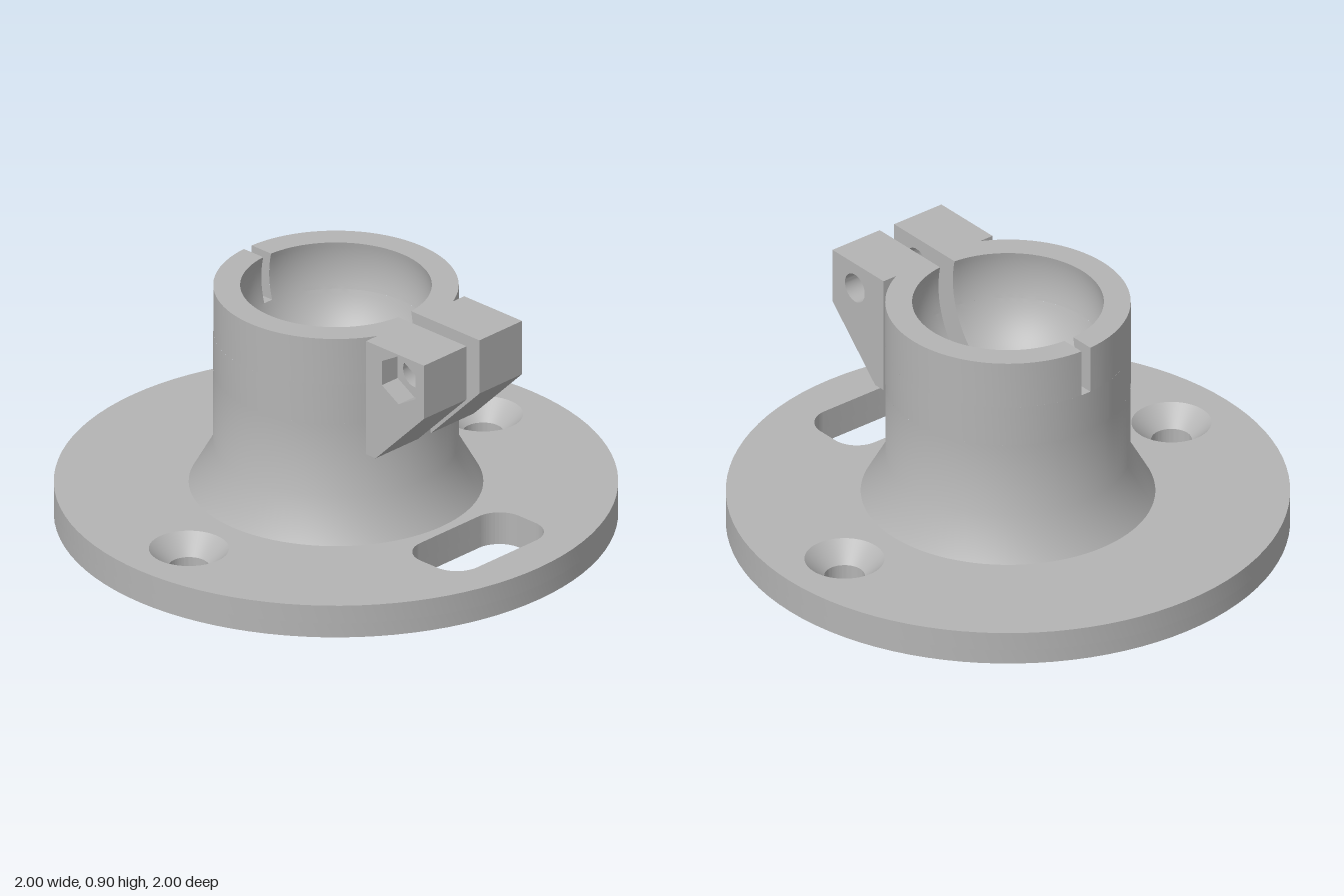
import * as THREE from 'three';
import { mergeGeometries, toCreasedNormals } from 'three/addons/utils/BufferGeometryUtils.js';

const HALF_SEGMENTS = 48;
const OUTER = 0.435, TOP = 0.9;          // neck radius and height
const BALL_Y = 0.82, BALL_R = 0.349;     // spherical socket
const FLANGE = 0.125, SINK = 0.055;      // flange thickness, countersink floor
const FRONT = { w: 0.033, y: 0.565 };    // slot half widths and floors
const BACK = { w: 0.02, y: 0.72 };

const v2 = (x, y) => new THREE.Vector2(x, y);
const crease = (g) => toCreasedNormals(g, 0.6);

// Socket profile running down from y0 to y1
function socketArc(y0, y1, n = 10) {
  const angle = (y) => Math.asin(Math.max(-1, (y - BALL_Y) / BALL_R));
  const a = angle(y0), b = angle(y1);
  return Array.from({ length: n + 1 }, (_, i) => {
    const t = a + (b - a) * i / n;
    return v2(Math.max(0, BALL_R * Math.cos(t)), BALL_Y + BALL_R * Math.sin(t));
  });
}

// Two half turns of a profile, pulled back from parallel-sided slots
function slottedRing(points, wFront, wBack) {
  return [0, 1].map((side) => {
    const g = new THREE.LatheGeometry(points, HALF_SEGMENTS, side * Math.PI, Math.PI);
    const p = g.attributes.position;
    for (let k = 0; k < p.count; k++) {
      const { x: r, y } = points[k % points.length];
      const t = Math.floor(k / points.length) / HALF_SEGMENTS;
      const gap = (w) => (r > w ? Math.asin(w / r) : 0);
      const start = gap(side ? wBack : wFront), end = Math.PI - gap(side ? wFront : wBack);
      const a = side * Math.PI + start + (end - start) * t;
      p.setXYZ(k, r * Math.sin(a), y, r * Math.cos(a));
    }
    return g;
  });
}

// Cheeks and floor of a slot; dir is +1 for front, -1 for back
function slotFaces({ w, y }, dir) {
  const z = (r) => Math.sqrt(r * r - w * w);
  const outline = [v2(OUTER, y), v2(OUTER, TOP), ...socketArc(TOP, y, 16)];
  const faces = [1, -1].map((side) => {
    const shape = new THREE.Shape(outline.map((q) => v2(dir * side * z(q.x), q.y)));
    return new THREE.ShapeGeometry(shape).rotateY(-side * Math.PI / 2).translate(side * w, 0, 0);
  });
  const inner = z(outline[outline.length - 1].x);
  const floor = new THREE.PlaneGeometry(2 * w, OUTER - inner).rotateX(-Math.PI / 2);
  return [...faces, floor.translate(0, y, dir * (OUTER + inner) / 2)];
}

function neckGeometry() {
  const band = (y0, y1) => [v2(OUTER, y0), v2(OUTER, y1)];
  return crease(mergeGeometries([
    ...slottedRing([v2(0.522, FLANGE), v2(OUTER, 0.28), v2(OUTER, FRONT.y)], 0, 0),
    ...slottedRing(socketArc(FRONT.y, BALL_Y - BALL_R, 14), 0, 0),
    ...slottedRing(band(FRONT.y, BACK.y), FRONT.w, 0),
    ...slottedRing(socketArc(BACK.y, FRONT.y), FRONT.w, 0),
    ...slottedRing([...band(BACK.y, TOP), ...socketArc(TOP, BACK.y)], FRONT.w, BACK.w),
    ...slotFaces(FRONT, 1),
    ...slotFaces(BACK, -1),
  ]));
}

const circle = (x, y, r) => new THREE.Path().absarc(x, y, r, 0, Math.PI * 2, true);

// Rounded cable opening in the flange
function openingPath() {
  const x = 0.25, y0 = -0.84, y1 = -0.56, r = 0.1, q = Math.PI / 2;
  const p = new THREE.Path();
  p.absarc(x - r, y1 - r, r, 0, q);
  p.absarc(-x + r, y1 - r, r, q, 2 * q);
  p.absarc(-x + r, y0 + r, r, 2 * q, 3 * q);
  p.absarc(x - r, y0 + r, r, 3 * q, 4 * q);
  p.closePath();
  return p;
}

// One layer of the flange
function flangeLayer(y0, y1, holeRadius) {
  const shape = new THREE.Shape().absarc(0, 0, 1, 0, Math.PI * 2);
  shape.holes.push(openingPath(), circle(0.75, 0, holeRadius), circle(-0.75, 0, holeRadius));
  const g = new THREE.ExtrudeGeometry(shape, { depth: y1 - y0, bevelEnabled: false, curveSegments: 48 });
  return crease(g.rotateX(-Math.PI / 2).translate(0, y0, 0));
}

// Clamp ear slice between two x positions
function earSlice(x0, x1, hole) {
  const shape = new THREE.Shape([
    v2(0.39, 0.453), v2(0.437, 0.453), v2(0.675, 0.69), v2(0.675, TOP), v2(0.39, TOP)]);
  shape.holes.push(hole);
  const g = new THREE.ExtrudeGeometry(shape, { depth: x1 - x0, bevelEnabled: false, curveSegments: 20 });
  return crease(g.rotateY(-Math.PI / 2).translate(x1, 0, 0));
}

export function createModel() {
  const model = new THREE.Group();
  model.name = 'clampingSocketMount';
  const grey = new THREE.MeshStandardMaterial({ color: 0xb4b4b4 });
  grey.name = 'grey';
  const add = (name, geometry) => {
    const mesh = new THREE.Mesh(geometry, grey);
    mesh.name = name;
    model.add(mesh);
    return mesh;
  };

  // Base flange with countersunk screw holes
  add('flangeBottom', flangeLayer(0, SINK, 0.072));
  add('flangeTop', flangeLayer(SINK, FLANGE, 0.142));
  for (const x of [0.75, -0.75]) {
    const cone = new THREE.LatheGeometry([v2(0.142, FLANGE), v2(0.072, SINK)], 96);
    add(x > 0 ? 'leftCountersink' : 'rightCountersink', cone).position.x = x;
  }

  // Neck with socket and slots
  add('neck', neckGeometry());

  // Clamp ears: plain bolt hole on the left, nut pocket on the right
  const bolt = () => circle(0.55, 0.8, 0.055);
  const hex = new THREE.Path(Array.from({ length: 6 }, (_, i) => {
    const a = Math.PI / 2 + i * Math.PI / 3;
    return v2(0.55 + 0.095 * Math.cos(a), 0.8 + 0.095 * Math.sin(a));
  }));
  add('leftEar', earSlice(FRONT.w, 0.25, bolt()));
  add('rightEarInner', earSlice(-0.17, -FRONT.w, bolt()));
  add('rightEarNutPocket', earSlice(-0.25, -0.17, hex));

  return model;
}
